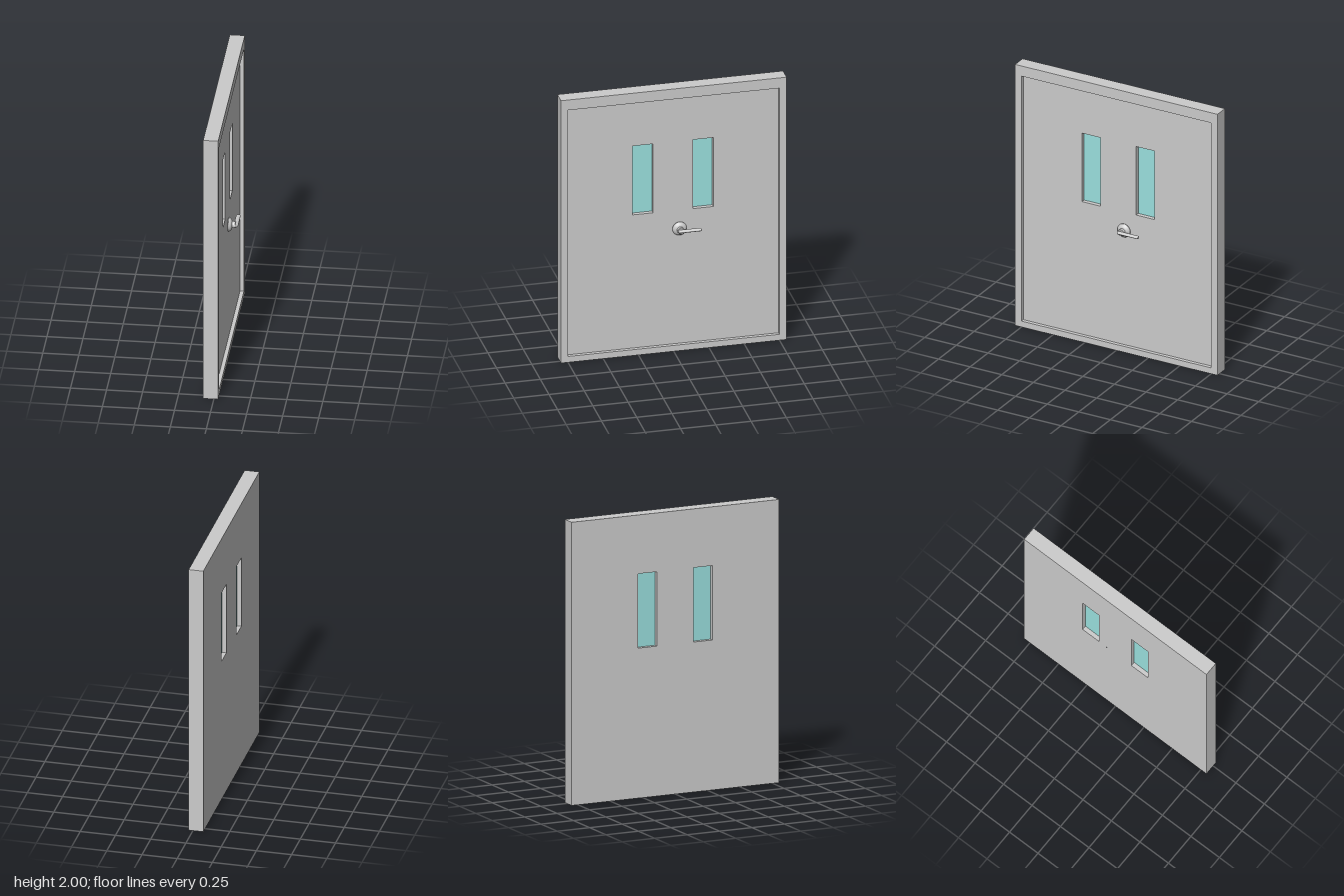
import * as THREE from 'three';

const grey = new THREE.MeshStandardMaterial({ color: 0xcccccc });
const glassMat = new THREE.MeshStandardMaterial({ color: 0x9ae0de });

// Depths along x, from the flat back face to the front of the rim
const BACK = -0.074, PANEL = 0.003, RIM = 0.03;

// Windows: centre height, height, width, distance from the middle
const WIN = { y: 1.322, h: 0.525, w: 0.145, z: 0.214 };

function rect(path, u0, y0, u1, y1) {
  path.moveTo(u0, y0);
  path.lineTo(u1, y0);
  path.lineTo(u1, y1);
  path.lineTo(u0, y1);
  path.closePath();
  return path;
}

// A door-sized slab with rectangular holes, extruded along x
function slab(name, x0, x1, holes) {
  const shape = rect(new THREE.Shape(), -0.8, 0, 0.8, 2);
  for (const h of holes) shape.holes.push(rect(new THREE.Path(), ...h));
  const geo = new THREE.ExtrudeGeometry(shape, { depth: x1 - x0, bevelEnabled: false });
  geo.rotateY(Math.PI / 2).translate(x0, 0, 0);
  return part(name, geo, grey);
}

function part(name, geo, mat) {
  const mesh = new THREE.Mesh(geo, mat);
  mesh.name = name;
  return mesh;
}

function createHandle() {
  const handle = new THREE.Group();
  handle.name = 'handle';

  // Domed rose, turned around the x axis
  const dome = [[0, 0], [0.051, 0], [0.05, 0.006], [0.045, 0.014], [0.036, 0.022], [0.025, 0.027], [0, 0.027]];
  const rose = new THREE.LatheGeometry(dome.map(p => new THREE.Vector2(...p)), 32);
  rose.rotateZ(-Math.PI / 2);
  handle.add(part('rose', rose, grey));

  // Neck carrying the lever
  const neck = new THREE.CylinderGeometry(0.024, 0.024, 0.026, 32);
  neck.rotateZ(-Math.PI / 2).translate(0.036, 0, 0);
  handle.add(part('neck', neck, grey));

  // Oval lever with softly rounded ends, pointing to -z
  const profile = [[0, 0], [0.009, 0], [0.0135, 0.002], [0.0155, 0.007],
    [0.0155, 0.157], [0.0135, 0.162], [0.009, 0.164], [0, 0.164]];
  const lever = new THREE.LatheGeometry(profile.map(p => new THREE.Vector2(...p)), 24);
  lever.rotateX(-Math.PI / 2).scale(1, 0.7, 1).translate(0.0535, 0, 0.021);
  handle.add(part('lever', lever, grey));

  handle.position.set(PANEL, 0.92, -0.047);
  return handle;
}

export function createModel() {
  const door = new THREE.Group();
  door.name = 'door';

  // Panel pierced by the two windows
  const y0 = WIN.y - WIN.h / 2, y1 = WIN.y + WIN.h / 2;
  const openings = [-1, 1].map(s => [s * WIN.z - WIN.w / 2, y0, s * WIN.z + WIN.w / 2, y1]);
  door.add(slab('panel', BACK, PANEL, openings));

  // Raised rim around the front face
  door.add(slab('rim', PANEL, RIM, [[-0.75, 0.045, 0.75, 1.922]]));

  // Panes set midway in the panel
  for (const s of [-1, 1]) {
    const pane = part(s > 0 ? 'frontPane' : 'backPane', new THREE.BoxGeometry(0.016, WIN.h, WIN.w), glassMat);
    pane.position.set((BACK + PANEL) / 2, WIN.y, s * WIN.z);
    door.add(pane);
  }

  door.add(createHandle());
  return door;
}
